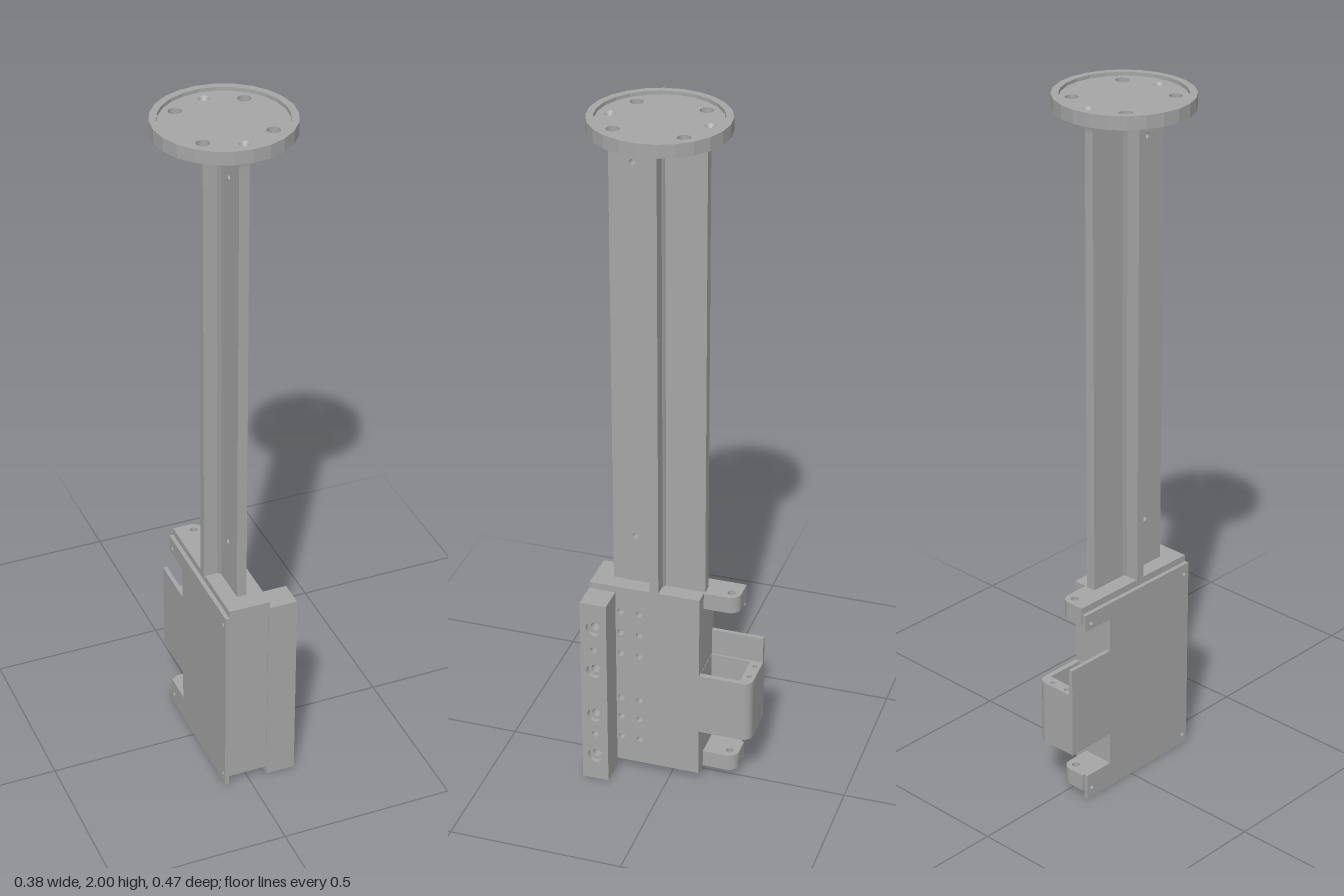
import * as THREE from 'three';

export function createModel() {
  const model = new THREE.Group();
  const metal = new THREE.MeshStandardMaterial({ color: 0xa6a6a6, side: THREE.DoubleSide });
  metal.name = 'grey metal';

  const add = (name, geo) => {
    const m = new THREE.Mesh(geo, metal);
    m.name = name;
    model.add(m);
    return m;
  };
  const box = (name, x0, x1, y0, y1, z0, z1) => {
    const m = add(name, new THREE.BoxGeometry(x1 - x0, y1 - y0, z1 - z0));
    m.position.set((x0 + x1) / 2, (y0 + y1) / 2, (z0 + z1) / 2);
    return m;
  };
  const outline = (pts) => new THREE.Shape(pts.map(([a, b]) => new THREE.Vector2(a, b)));
  const circle = (x, y, r) => new THREE.Path().absarc(x, y, r, 0, Math.PI * 2, true);
  const drill = (shape, holes) => {
    holes.forEach(([x, y, r]) => shape.holes.push(circle(x, y, r)));
    return shape;
  };
  const extrude = (shape, depth) =>
    new THREE.ExtrudeGeometry(shape, { depth, bevelEnabled: false, curveSegments: 12 });
  // side profile drawn in (-z, y), extruded along x
  const alongX = (name, shape, x0, x1) =>
    add(name, extrude(shape, x1 - x0).rotateY(Math.PI / 2).translate(x0, 0, 0));
  // plan drawn in (x, -z), extruded upwards
  const alongY = (name, shape, y0, y1) =>
    add(name, extrude(shape, y1 - y0).rotateX(-Math.PI / 2).translate(0, y0, 0));
  const rect = (a0, a1, b0, b1) => outline([[a0, b0], [a1, b0], [a1, b1], [a0, b1]]);

  // round flange with recessed top
  const cz = 0.045;
  const disc = (r) => new THREE.Shape().absarc(0, -cz, r, 0, Math.PI * 2, false);
  const bolts = [];
  for (const x of [-0.094, 0.094]) for (const z of [-0.05, 0.138]) bolts.push([x, -z, 0.018]);
  const sinks = [-0.089, 0.178];
  alongY('topFlange', drill(disc(0.188), [...bolts, ...sinks.map((z) => [0, -z, 0.016])]), 1.963, 1.99);
  alongY('flangeRim', drill(disc(0.188), [[0, -cz, 0.168]]), 1.99, 2);
  for (const z of sinks) {
    add('countersink', new THREE.CylinderGeometry(0.016, 0.001, 0.02, 20, 1, true)).position.set(0, 1.98, z);
  }

  // cross-shaped column, each rib flaring under the flange
  const rib = (a0, a1) => {
    const s = new THREE.Shape();
    const f = 0.024;
    s.moveTo(a0, 0.6);
    s.lineTo(a1, 0.6);
    s.lineTo(a1, 1.92);
    s.quadraticCurveTo(a1, 1.963, a1 + f, 1.965);
    s.lineTo(a0 - f, 1.965);
    s.quadraticCurveTo(a0, 1.963, a0, 1.92);
    return s;
  };
  alongX('columnLongRib', drill(rib(-0.18, 0.087), [[-0.115, 1.87, 0.008], [-0.115, 0.755, 0.008]]), -0.015, 0.013);
  add('columnCrossRib', extrude(rib(-0.063, 0.06), 0.025).translate(0, 0, 0.034));
  const core = add('columnCornerFillets', new THREE.CylinderGeometry(0.034, 0.034, 1.36, 4));
  core.position.set(-0.001, 1.285, 0.0465);

  // main housing with drilled side
  box('housingCore', -0.06, 0.04, 0.025, 0.61, -0.085, 0.235);
  const small = [];
  for (const z of [0.145, 0.09]) for (const y of [0.53, 0.46, 0.39, 0.24, 0.175, 0.105]) small.push([-z, y, 0.01]);
  alongX('housingSide', drill(rect(-0.235, 0.085, 0.025, 0.61), small), 0.04, 0.06);

  // front mounting flange with counterbored holes
  const big = [0.51, 0.37, 0.22, 0.08].map((y) => [-0.197, y]);
  const pins = [0.44, 0.155].map((y) => [-0.197, y, 0.01]);
  const flange = (r) => drill(rect(-0.237, -0.16, 0, 0.59), [...big.map(([z, y]) => [z, y, r]), ...pins]);
  alongX('frontFlange', flange(0.013), 0.055, 0.125);
  alongX('frontFlangeFace', flange(0.023), 0.125, 0.14);

  // thin side plate with notches between the rear lugs
  alongX('sidePlate', drill(outline([
    [-0.237, 0], [0.178, 0], [0.178, 0.075], [0.085, 0.075], [0.085, 0.17], [0.236, 0.17],
    [0.236, 0.44], [0.085, 0.44], [0.085, 0.54], [0.182, 0.54], [0.182, 0.59], [-0.237, 0.59],
  ]), [[-0.22, 0.56, 0.006], [-0.22, 0.03, 0.006], [0.16, 0.56, 0.006], [0.16, 0.03, 0.006]]), -0.072, -0.06);

  // plan with one rounded rear corner
  const roundedPlan = (x1, back, r) => {
    const s = new THREE.Shape();
    s.moveTo(-0.06, 0.08);
    s.lineTo(x1, 0.08);
    s.lineTo(x1, back - r);
    s.absarc(x1 - r, back - r, r, 0, Math.PI / 2, false);
    s.lineTo(-0.06, back);
    return s;
  };

  // rear lugs, top and bottom
  for (const [y0, y1] of [[0.56, 0.61], [0.025, 0.075]]) {
    alongY('rearLug', drill(roundedPlan(0.02, 0.185, 0.03), [[-0.008, 0.157, 0.011]]), y0, y1);
  }

  // rear box with open pocket and two screw holes
  const screws = [[-0.035, 0.22, 0.007], [0.018, 0.22, 0.007]];
  alongY('rearBoxFloor', drill(roundedPlan(0.06, 0.236, 0.027), screws), 0.17, 0.2);
  const wall = drill(roundedPlan(0.06, 0.236, 0.027), screws);
  wall.holes.push(new THREE.Path([[-0.055, 0.086], [-0.055, 0.2], [0.045, 0.2], [0.045, 0.086]]
    .map(([x, y]) => new THREE.Vector2(x, y))));
  alongY('rearBoxWall', wall, 0.2, 0.36);

  return model;
}
